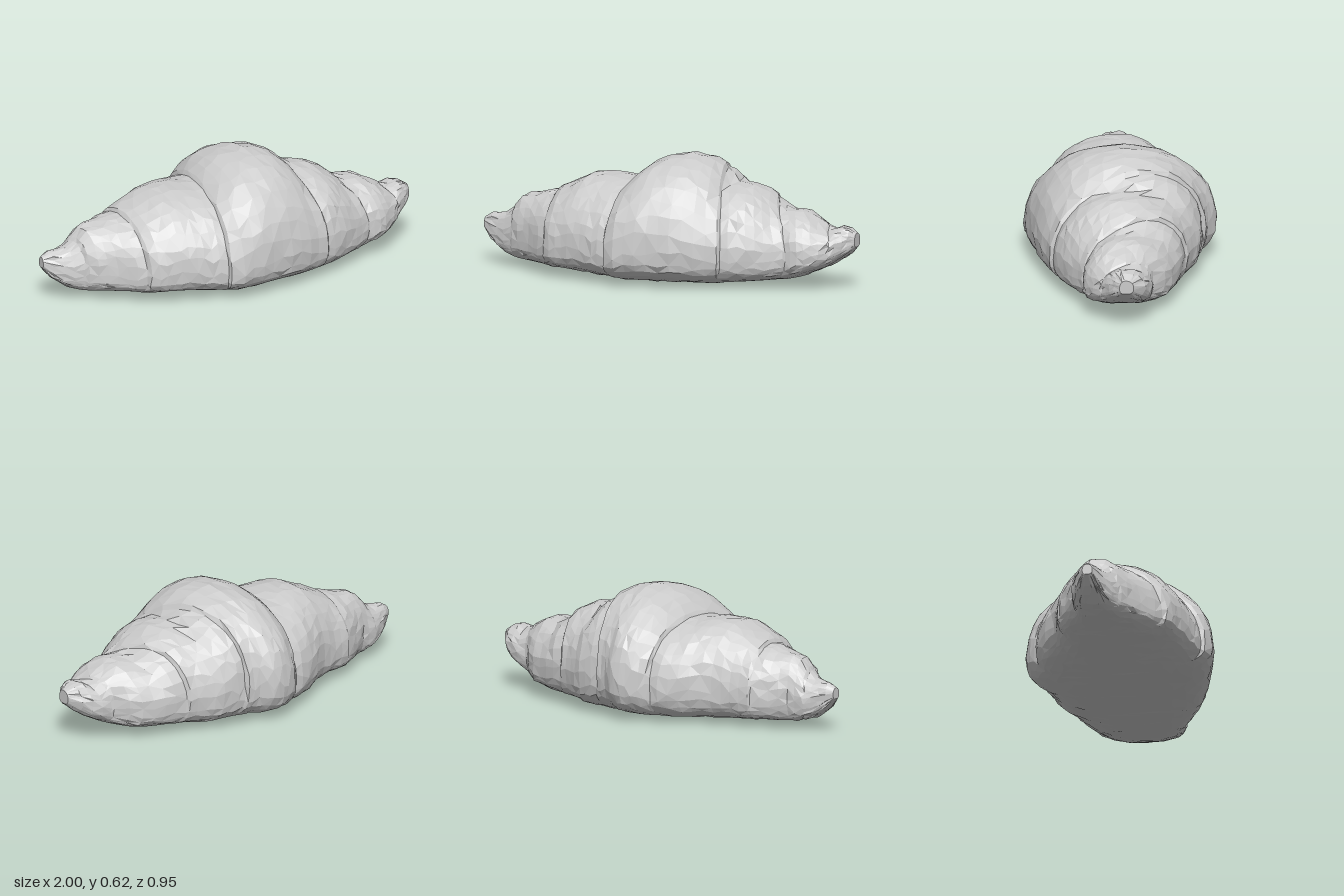
import * as THREE from 'three';

// Outline profiles along the length, as [x, value] pairs
const TOP = [[-1, .225], [-.98, .245], [-.9, .25], [-.85, .28], [-.78, .36], [-.7, .37], [-.6, .4], [-.5, .45], [-.4, .495],
  [-.3, .495], [-.2, .49], [-.15, .505], [-.08, .57], [0, .605], [.1, .62], [.2, .605], [.28, .56], [.35, .495], [.46, .485],
  [.55, .435], [.62, .38], [.72, .38], [.8, .34], [.87, .295], [.93, .315], [.98, .3], [1, .28]];
const BOTTOM = [[-1, .17], [-.95, .11], [-.88, .06], [-.8, .04], [-.6, .03], [-.4, .02], [-.2, .01], [0, .003], [.3, .006],
  [.5, .025], [.7, .045], [.8, .08], [.9, .13], [.97, .18], [1, .21]];
const FRONT = [[-1, .025], [-.9, .08], [-.8, .14], [-.7, .2], [-.6, .28], [-.53, .34], [-.3, .4], [-.2, .435], [-.13, .478],
  [0, .468], [.2, .425], [.4, .36], [.5, .315], [.6, .26], [.68, .212], [.78, .205], [.85, .165], [.9, .12], [.97, .065], [1, .03]];
const BACK = [[-1, .025], [-.95, .06], [-.87, .1], [-.78, .11], [-.7, .16], [-.62, .215], [-.5, .235], [-.4, .275], [-.3, .345],
  [-.2, .395], [-.13, .415], [-.08, .455], [0, .475], [.05, .465], [.1, .43], [.2, .41], [.3, .385], [.4, .335], [.5, .305],
  [.6, .27], [.7, .23], [.75, .19], [.78, .145], [.87, .135], [.95, .1], [1, .04]];

// Dough layer edges: [x at the crown, outward direction]
const FOLDS = [[-.83, -1], [-.58, -1], [-.15, -1], [.28, 1], [.57, 1], [.84, 1]];
// How far the rings lean from back to front, so that they run along the layer edges
const SLANT = [[-1, 0], [-.83, .03], [-.58, .03], [-.15, -.02], [.28, .12], [.57, .12], [.84, .05], [1, 0]];

function sample(table, x) {
  let i = 1;
  while (i < table.length - 1 && table[i][0] < x) i++;
  const [x0, v0] = table[i - 1], [x1, v1] = table[i];
  return THREE.MathUtils.lerp(v0, v1, THREE.MathUtils.clamp((x - x0) / (x1 - x0), 0, 1));
}

// Ring positions: even spacing between layer edges, a close pair at each edge
function createStations() {
  const stations = [];
  let start = -1;
  for (const [x, dir] of [...FOLDS, [1, 0]]) {
    const end = dir < 0 ? x - .012 : x;
    const n = Math.max(3, Math.round((end - start) / .042));
    for (let i = 0; i < n; i++) stations.push(THREE.MathUtils.lerp(start, end, i / n));
    stations.push(end);
    start = end + .012;
  }
  return stations;
}

// Narrow step just outside every layer edge, fading towards the underside
function foldDepth(u, s) {
  let depth = 0;
  for (const [x, dir] of FOLDS) {
    const t = (u - x) * dir;
    if (t > .001) depth += .055 * Math.exp(-t / .035);
  }
  return depth * THREE.MathUtils.smoothstep(s, -.9, .1);
}

let seed = 7;
function jitter(amount) {
  seed = (seed * 16807) % 2147483647;
  return (seed / 2147483647 - .5) * amount;
}

// Rounded section: a dome above the widest line, a flattened belly below it
function sectionPoint(u, angle) {
  const c = Math.cos(angle), s = Math.sin(angle);
  const x = u + sample(SLANT, u) * c;
  const top = sample(TOP, x), bottom = sample(BOTTOM, x);
  const mid = THREE.MathUtils.lerp(bottom, top, .32 - .03 * c + .14 * Math.abs(x) ** 4);
  const power = s > 0 ? 2 / 2.1 : 2 / 3.1;
  const k = 1 - foldDepth(u, s);
  const z = Math.sign(c) * Math.abs(c) ** power * sample(c > 0 ? FRONT : BACK, x);
  const y = Math.sign(s) * Math.abs(s) ** power * (s > 0 ? top - mid : mid - bottom);
  return [x, mid + y * k, z * k];
}

function createBody() {
  const stations = createStations(), sides = 32, pos = [], index = [];
  const last = stations.length - 1;
  stations.forEach((u, i) => {
    const rough = i > 0 && i < last ? 1 : 0;
    for (let j = 0; j < sides; j++) {
      const [x, y, z] = sectionPoint(u, (j + jitter(.5)) / sides * Math.PI * 2);
      pos.push(x + jitter(.008) * rough, Math.max(0, y + jitter(.007) * rough), z + jitter(.007) * rough);
    }
  });
  for (let i = 0; i < last; i++) {
    for (let j = 0; j < sides; j++) {
      const k = (j + 1) % sides;
      const a = i * sides + j, b = a + sides, d = i * sides + k, e = d + sides;
      if ((i + j) % 2) index.push(a, b, d, b, e, d);
      else index.push(a, b, e, a, e, d);
    }
  }
  // Close both tips
  const left = pos.length / 3, right = left + 1, end = last * sides;
  pos.push(-1, .2, 0, 1, .245, 0);
  for (let j = 0; j < sides; j++) {
    const k = (j + 1) % sides;
    index.push(left, j, k, right, end + k, end + j);
  }
  const geometry = new THREE.BufferGeometry();
  geometry.setAttribute('position', new THREE.Float32BufferAttribute(pos, 3));
  geometry.setIndex(index);
  geometry.computeVertexNormals();
  return geometry;
}

export function createModel() {
  seed = 7;
  const group = new THREE.Group();
  group.name = 'croissant';
  const body = new THREE.Mesh(createBody(), new THREE.MeshStandardMaterial({ color: 0xcccccc, flatShading: true }));
  body.name = 'rolledDough';
  group.add(body);
  return group;
}
